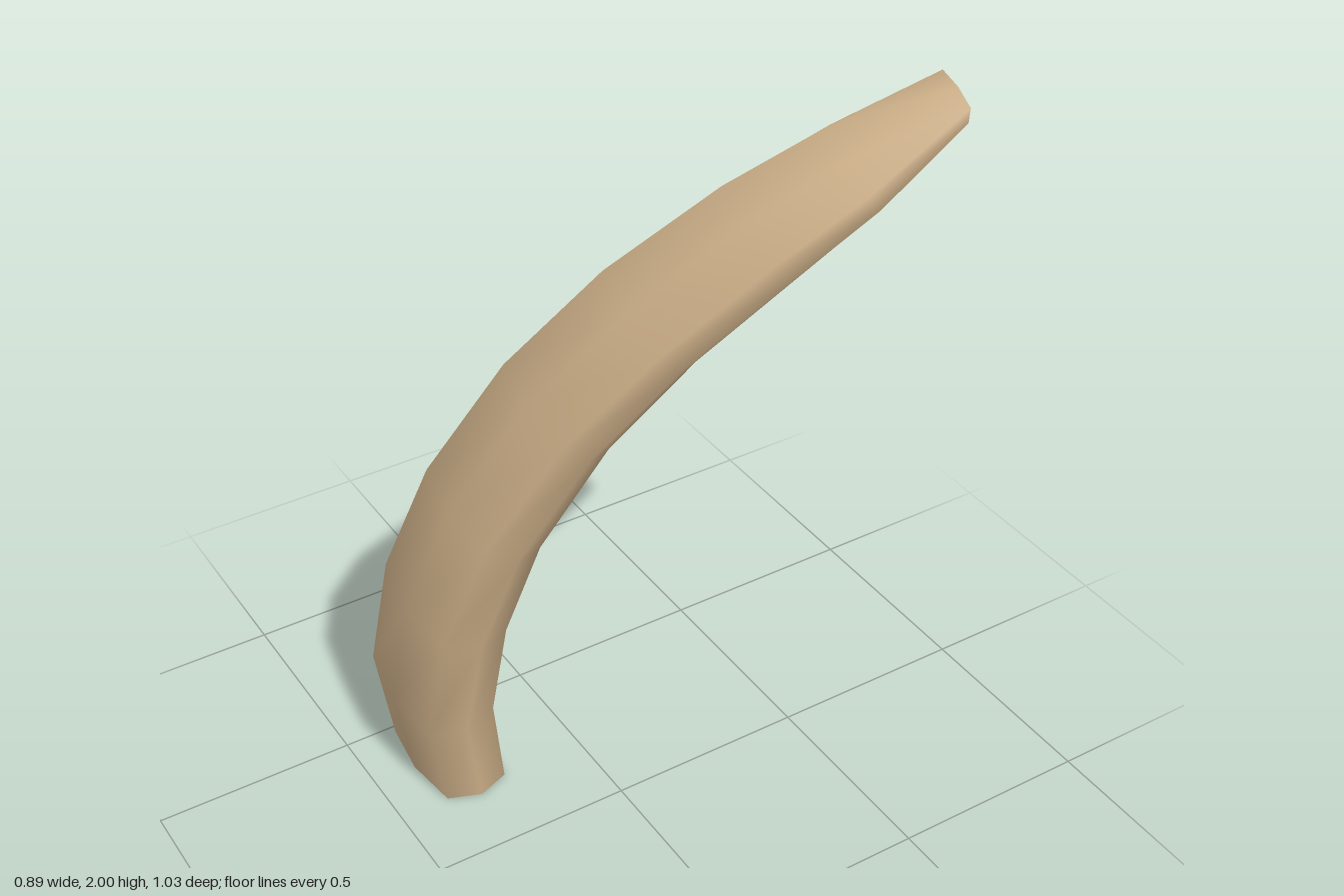
import * as THREE from 'three';

// Each station: centre x, y, z, half width, half depth, roll (about z) and pitch (about x) in degrees
const STATIONS = [
  [-0.295, 0.0, -0.34, 0.097, 0.17, 0, 0],
  [-0.345, 0.288, -0.305, 0.105, 0.176, -2, 7],
  [-0.333, 0.6, -0.23, 0.102, 0.17, 7, 13],
  [-0.278, 0.9, -0.128, 0.095, 0.16, 16, 18],
  [-0.163, 1.207, 0.003, 0.088, 0.149, 23, 22],
  [-0.022, 1.46, 0.143, 0.08, 0.139, 29, 27],
  [0.145, 1.67, 0.278, 0.073, 0.123, 40, 29],
  [0.293, 1.815, 0.375, 0.059, 0.101, 46, 32],
  [0.443, 1.955, 0.46, 0.038, 0.06, 88, 25],
];
const SIDES = 8;

// One slightly squared oval ring, tilted to follow the curve
function ring([x, y, z, w, d, roll, pitch]) {
  const a = THREE.MathUtils.degToRad(roll);
  const b = THREE.MathUtils.degToRad(pitch);
  const across = new THREE.Vector3(Math.cos(a), -Math.sin(a) * Math.cos(b), -Math.sin(a) * Math.sin(b));
  const along = new THREE.Vector3(0, -Math.sin(b), Math.cos(b));
  return Array.from({ length: SIDES }, (_, j) => {
    const t = (j / SIDES) * Math.PI * 2;
    const k = j % 2 ? 0.82 / Math.SQRT1_2 : 1;
    return new THREE.Vector3(x, y, z)
      .addScaledVector(across, w * k * Math.cos(t))
      .addScaledVector(along, d * k * Math.sin(t));
  });
}

function geometryFrom(points, index) {
  const g = new THREE.BufferGeometry().setFromPoints(points);
  g.setIndex(index);
  g.computeVertexNormals();
  return g;
}

// Flat end face as a fan
function cap(points, up) {
  const index = [];
  for (let j = 1; j < SIDES - 1; j++) index.push(0, ...(up ? [j + 1, j] : [j, j + 1]));
  return geometryFrom(points, index);
}

export function createModel() {
  const group = new THREE.Group();
  group.name = 'horn';
  const tan = new THREE.MeshStandardMaterial({ color: 0xd2b48c });
  tan.name = 'tan';

  const add = (name, geometry) => {
    const mesh = new THREE.Mesh(geometry, tan);
    mesh.name = name;
    group.add(mesh);
  };

  // Smooth curved shaft joining the rings
  const rings = STATIONS.map(ring);
  const index = [];
  for (let i = 0; i < rings.length - 1; i++) {
    for (let j = 0; j < SIDES; j++) {
      const n = (j + 1) % SIDES;
      const a = i * SIDES + j, b = i * SIDES + n;
      const c = a + SIDES, d = b + SIDES;
      index.push(a, c, b, b, c, d);
    }
  }
  add('shaft', geometryFrom(rings.flat(), index));

  // Flat ends
  add('base', cap(rings[0], false));
  add('tip', cap(rings[rings.length - 1], true));
  return group;
}
